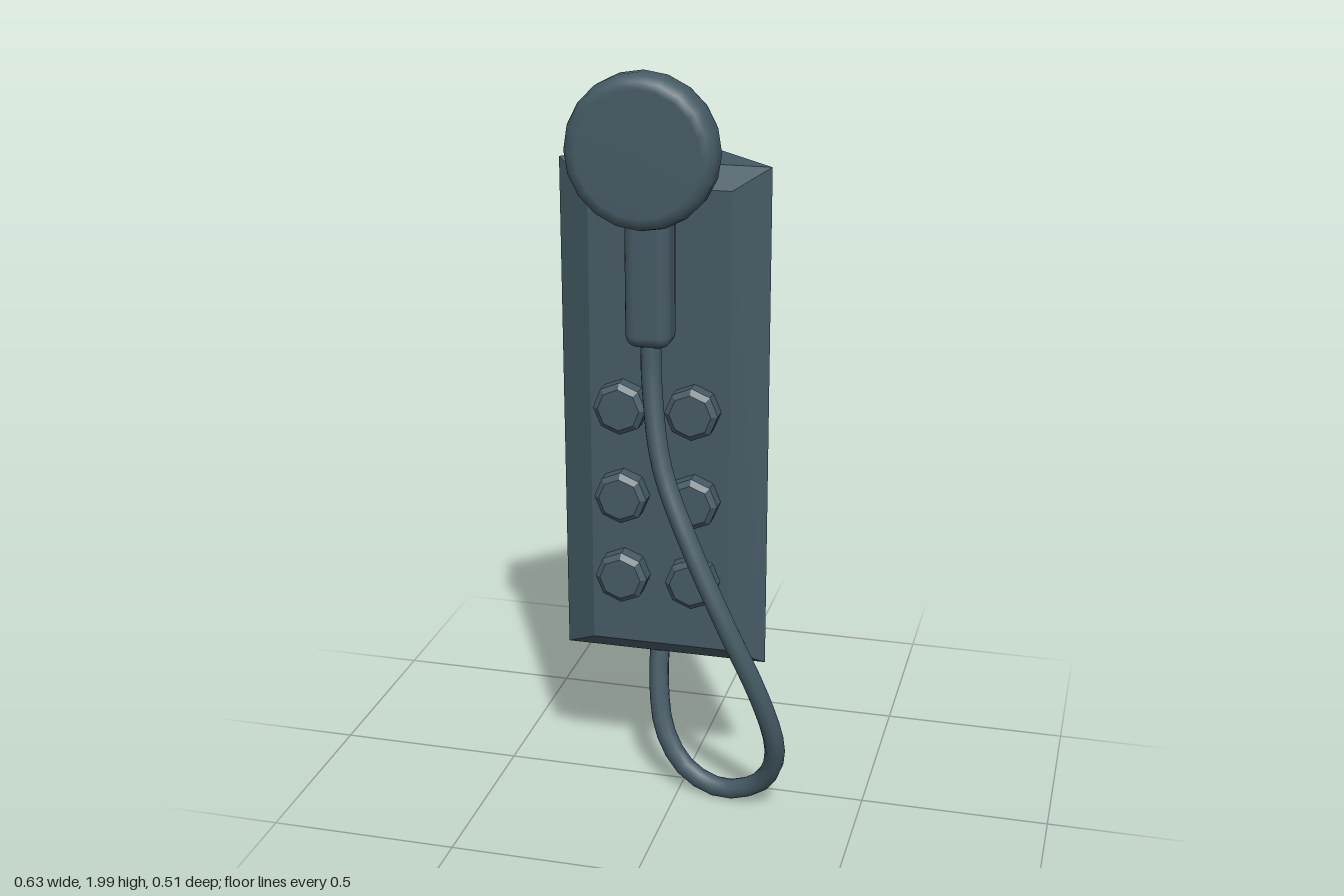
import * as THREE from 'three';
import { toCreasedNormals } from 'three/addons/utils/BufferGeometryUtils.js';
import { RoundedBoxGeometry } from 'three/addons/geometries/RoundedBoxGeometry.js';

const slate = new THREE.MeshStandardMaterial({ color: 0x455a64 });
slate.name = 'slateGrey';

function add(group, name, geometry, x = 0, y = 0, z = 0) {
  const mesh = new THREE.Mesh(geometry, slate);
  mesh.name = name;
  mesh.position.set(x, y, z);
  group.add(mesh);
  return mesh;
}

// Triangular corner column with a bevelled front panel
function columnGeometry() {
  const [x0, x1, xm, y0, y1] = [-0.32, 0.228, -0.046, 0.405, 1.75];
  const points = [
    x0, y0, 0.02, x1, y0, 0.02, x1, y1, 0.02, x0, y1, 0.02,
    -0.23, 0.457, 0.08, 0.14, 0.457, 0.08, 0.14, 1.698, 0.08, -0.23, 1.698, 0.08,
    xm, y0, -0.255, xm, y1, -0.255,
  ];
  const faces = [4, 5, 6, 4, 6, 7, 8, 1, 0, 9, 3, 2, 1, 8, 9, 1, 9, 2, 8, 0, 3, 8, 3, 9];
  for (let i = 0; i < 4; i++) {
    const j = (i + 1) % 4;
    faces.push(i, j, j + 4, i, j + 4, i + 4);
  }
  let geometry = new THREE.BufferGeometry();
  geometry.setAttribute('position', new THREE.Float32BufferAttribute(points, 3));
  geometry.setIndex(faces);
  geometry = geometry.toNonIndexed();
  geometry.computeVertexNormals();
  return geometry;
}

// Disc with rounded rims, facing +z
function headGeometry(radius, depth, round, sides) {
  const h = depth / 2;
  const profile = [new THREE.Vector2(0, -h)];
  for (const [cy, start] of [[-h + round, -Math.PI / 2], [h - round, 0]]) {
    for (let i = 0; i <= 3; i++) {
      const a = start + (i / 3) * Math.PI / 2;
      profile.push(new THREE.Vector2(radius - round + round * Math.cos(a), cy + round * Math.sin(a)));
    }
  }
  profile.push(new THREE.Vector2(0, h));
  return new THREE.LatheGeometry(profile, sides).rotateX(Math.PI / 2);
}

export function createModel() {
  const model = new THREE.Group();
  model.name = 'showerColumn';

  add(model, 'cornerColumn', columnGeometry());
  add(model, 'showerHead', headGeometry(0.192, 0.105, 0.036, 20), -0.055, 1.81, 0.193);
  add(model, 'handle', new RoundedBoxGeometry(0.118, 0.515, 0.1, 3, 0.032), -0.056, 1.562, 0.125);

  // Two columns of chamfered octagonal knobs
  const knobProfile = [[0.07, 0], [0.07, 0.04], [0.055, 0.052], [0, 0.052]]
    .map(([r, y]) => new THREE.Vector2(r, y));
  const knob = toCreasedNormals(new THREE.LatheGeometry(knobProfile, 8).rotateX(Math.PI / 2), 0.3);
  for (const y of [1.125, 0.88, 0.655]) {
    for (const x of [-0.142, 0.047]) add(model, 'knob', knob, x, y, 0.078);
  }

  // Hose hanging from the handle and looping back under the column
  const path = [
    [-0.053, 1.34, 0.132], [-0.05, 1.22, 0.14], [-0.015, 1.0, 0.175], [0.07, 0.8, 0.21],
    [0.165, 0.6, 0.225], [0.25, 0.4, 0.205], [0.285, 0.25, 0.165], [0.276, 0.16, 0.13],
    [0.225, 0.075, 0.093], [0.12, 0.035, 0.07], [0.02, 0.075, 0.055], [-0.045, 0.17, 0.035],
    [-0.07, 0.3, 0.005], [-0.073, 0.45, -0.03],
  ].map((p) => new THREE.Vector3(...p));
  add(model, 'hose', new THREE.TubeGeometry(new THREE.CatmullRomCurve3(path), 40, 0.027, 10));

  return model;
}
